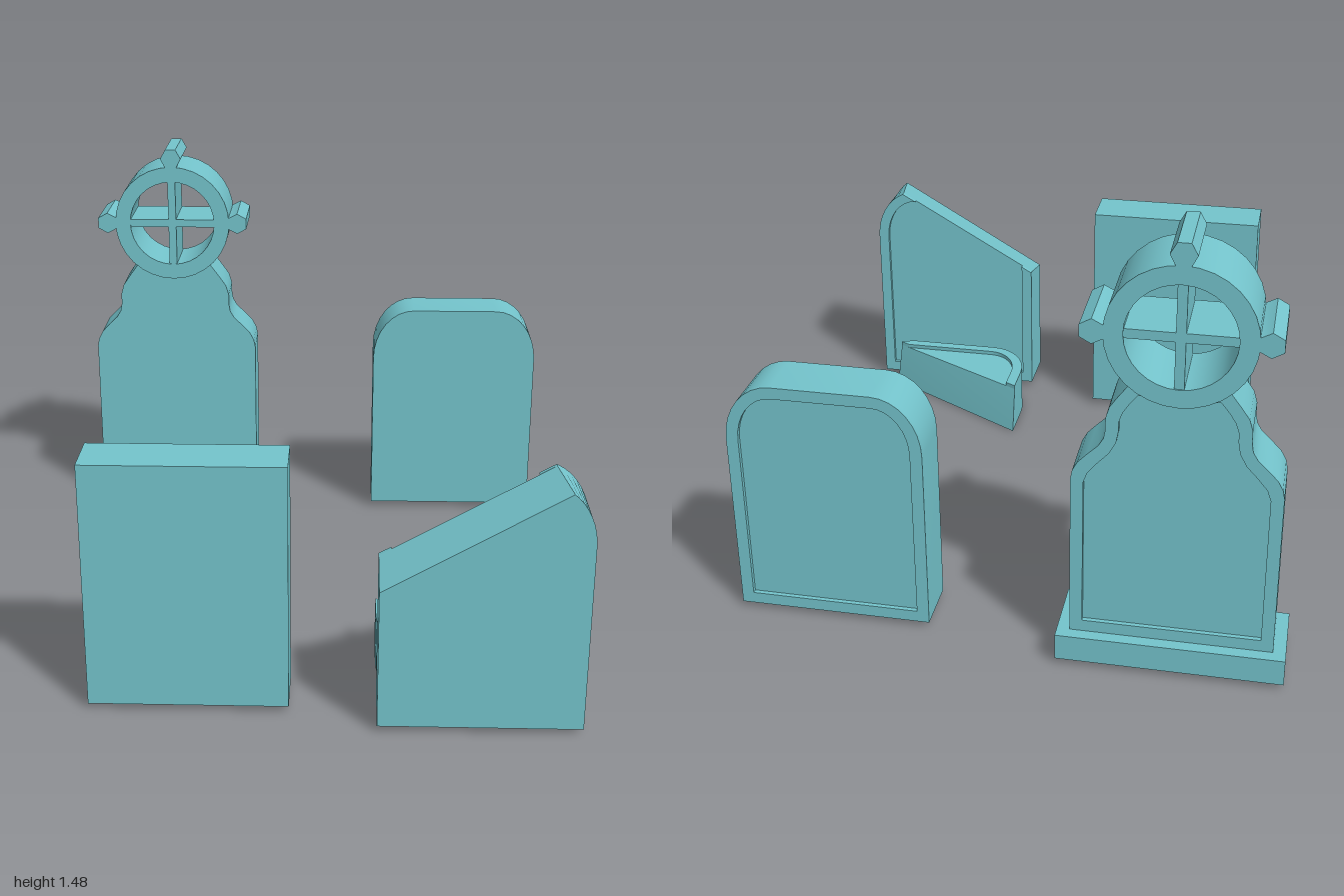
import * as THREE from 'three';
import { toCreasedNormals } from 'three/addons/utils/BufferGeometryUtils.js';

const material = new THREE.MeshStandardMaterial({ color: 0x74c4cc });
const RECESS = 0.015;

function mesh(name, geometry, parent) {
  const m = new THREE.Mesh(toCreasedNormals(geometry, 0.6), material);
  m.name = name;
  parent.add(m);
  return m;
}

function group(name, parent) {
  const g = new THREE.Group();
  g.name = name;
  parent.add(g);
  return g;
}

const toPoints = (list) => list.map(([x, y]) => new THREE.Vector2(x, y));

// Flat outline, optionally with a hole, extruded from z0 to z1
function prism(outline, z0, z1, hole) {
  const shape = new THREE.Shape(toPoints(outline));
  if (hole) shape.holes.push(new THREE.Path(toPoints(hole)));
  return new THREE.ExtrudeGeometry(shape, { depth: z1 - z0, bevelEnabled: false }).translate(0, 0, z0);
}

// Solid between two counter-clockwise loops with equal point counts
function loft(front, back, zFront, zBack) {
  const n = front.length;
  const pos = [...front.map(([x, y]) => [x, y, zFront]), ...back.map(([x, y]) => [x, y, zBack])].flat();
  const index = [];
  for (const [a, b, c] of THREE.ShapeUtils.triangulateShape(toPoints(front), [])) index.push(a, b, c);
  for (const [a, b, c] of THREE.ShapeUtils.triangulateShape(toPoints(back), [])) index.push(n + a, n + c, n + b);
  for (let i = 0; i < n; i++) {
    const j = (i + 1) % n;
    index.push(i, n + i, n + j, i, n + j, j);
  }
  const g = new THREE.BufferGeometry();
  g.setAttribute('position', new THREE.Float32BufferAttribute(pos, 3));
  g.setIndex(index);
  return g;
}

function box(x0, x1, y0, y1, z0, z1) {
  return new THREE.BoxGeometry(x1 - x0, y1 - y0, z1 - z0)
    .translate((x0 + x1) / 2, (y0 + y1) / 2, (z0 + z1) / 2);
}

// Elliptical corner, angles in degrees
function arc(cx, cy, rx, ry, from, to, n = 8) {
  return Array.from({ length: n + 1 }, (_, i) => {
    const a = THREE.MathUtils.degToRad(from + ((to - from) * i) / n);
    return [cx + rx * Math.cos(a), cy + ry * Math.sin(a)];
  });
}

// Round-shouldered outline, moved inwards by "inset"
function roundTop(inset) {
  const l = 0.255 + inset, r = 0.9 - inset, b = 0.02 + inset;
  return [[l, b], [r, b],
    ...arc(0.74, 0.65, 0.16 - inset, 0.2 - inset, 0, 90),
    ...arc(0.415, 0.65, 0.16 - inset, 0.2 - inset, 90, 180)];
}

function roundedStone(parent) {
  const g = group('roundedHeadstone', parent);
  mesh('roundedStoneBody', prism(roundTop(0), -0.895 + RECESS, -0.71), g);
  mesh('roundedStoneFrame', prism(roundTop(0), -0.895, -0.895 + RECESS, roundTop(0.04)), g);
}

// Stone whose upper corner has snapped off along a slope
function brokenStone(parent) {
  const g = group('brokenHeadstone', parent);
  const outline = (leftY, endAngle) => [[0.255, leftY], [0.255, 0.02], [0.9, 0.02],
    ...arc(0.74, 0.65, 0.16, 0.2, 0, endAngle)];
  const back = outline(0.53, 71);
  mesh('brokenStoneBody', loft(outline(0.487, 58), back, 1, 0.815 + RECESS), g);
  const inner = [...arc(0.74, 0.65, 0.12, 0.16, 90, 0), [0.86, 0.06], [0.295, 0.06], [0.295, 0.553]];
  mesh('brokenStoneFrame', prism([...back, ...inner], 0.815, 0.815 + RECESS), g);
}

// Snapped-off corner lying on its face, recessed side up
function fallenPiece(parent) {
  const g = group('fallenFragment', parent);
  const outline = (leftY, endAngle) => [[0.255, leftY],
    ...arc(0.74, 0.585, 0.16, 0.2, endAngle, 90),
    ...arc(0.415, 0.585, 0.16, 0.2, 90, 180)];
  const top = outline(0.465, 64);
  mesh('fragmentBody', loft(outline(0.42, 56), top, 0, -0.185 + RECESS), g);
  const inner = [[0.295, 0.487], ...arc(0.415, 0.585, 0.12, 0.16, 180, 90), [0.772, 0.745]];
  mesh('fragmentRim', prism([...top.slice(1), top[0], ...inner], -0.185, -0.185 + RECESS), g);
  g.rotation.x = Math.PI / 2;
}

function crossStone(parent) {
  const g = group('crossHeadstone', parent);
  g.position.x = -0.5475;
  mesh('plinth', box(-0.3625, 0.3625, 0.02, 0.11, -1, -0.75), g);

  // Shouldered body with a recessed back panel
  const mirror = (half) => [...half, ...half.map(([x, y]) => [-x, y]).reverse()];
  const body = mirror([[0.322, 0.1], [0.322, 0.67], [0.316, 0.7], [0.3, 0.73], [0.27, 0.762], [0.238, 0.793],
    [0.222, 0.82], [0.217, 0.85], [0.217, 0.89], [0.206, 0.928], [0.182, 0.963], [0.14, 1.02]]);
  const panel = mirror([[0.282, 0.15], [0.282, 0.66], [0.27, 0.695], [0.24, 0.732], [0.205, 0.77], [0.184, 0.81],
    [0.177, 0.85], [0.177, 0.88], [0.166, 0.913], [0.147, 0.943], [0.122, 0.975]]);
  mesh('shoulderedBody', prism(body, -0.96 + RECESS, -0.78), g);
  mesh('shoulderedFrame', prism(body, -0.96, -0.96 + RECESS, panel), g);

  // Ring with cross bars and three knobs
  const wheel = group('ringCross', g);
  wheel.position.set(0, 1.188, 0);
  const circle = (r) => arc(0, 0, r, r, 0, 360, 32).slice(0, -1);
  mesh('ring', prism(circle(0.225), -0.992, -0.755, circle(0.166)), wheel);
  mesh('verticalBar', box(-0.015, 0.015, -0.18, 0.18, -0.988, -0.759), wheel);
  mesh('horizontalBar', box(-0.18, 0.18, -0.015, 0.015, -0.988, -0.759), wheel);
  const knob = [[-0.02, 0.2], [0.02, 0.2], [0.022, 0.222], [0.04, 0.257], [0.02, 0.293],
    [-0.02, 0.293], [-0.04, 0.257], [-0.022, 0.222]];
  ['leftKnob', 'topKnob', 'rightKnob'].forEach((name, i) => {
    mesh(name, prism(knob, -0.992, -0.755), wheel).rotation.z = ((i - 1) * Math.PI) / 2;
  });
}

export function createModel() {
  const model = new THREE.Group();
  model.name = 'gravestones';
  mesh('plainSlab', box(-0.67, -0.025, 0.02, 0.85, 0.715, 0.895), model);
  crossStone(model);
  roundedStone(model);
  brokenStone(model);
  fallenPiece(model);
  return model;
}
